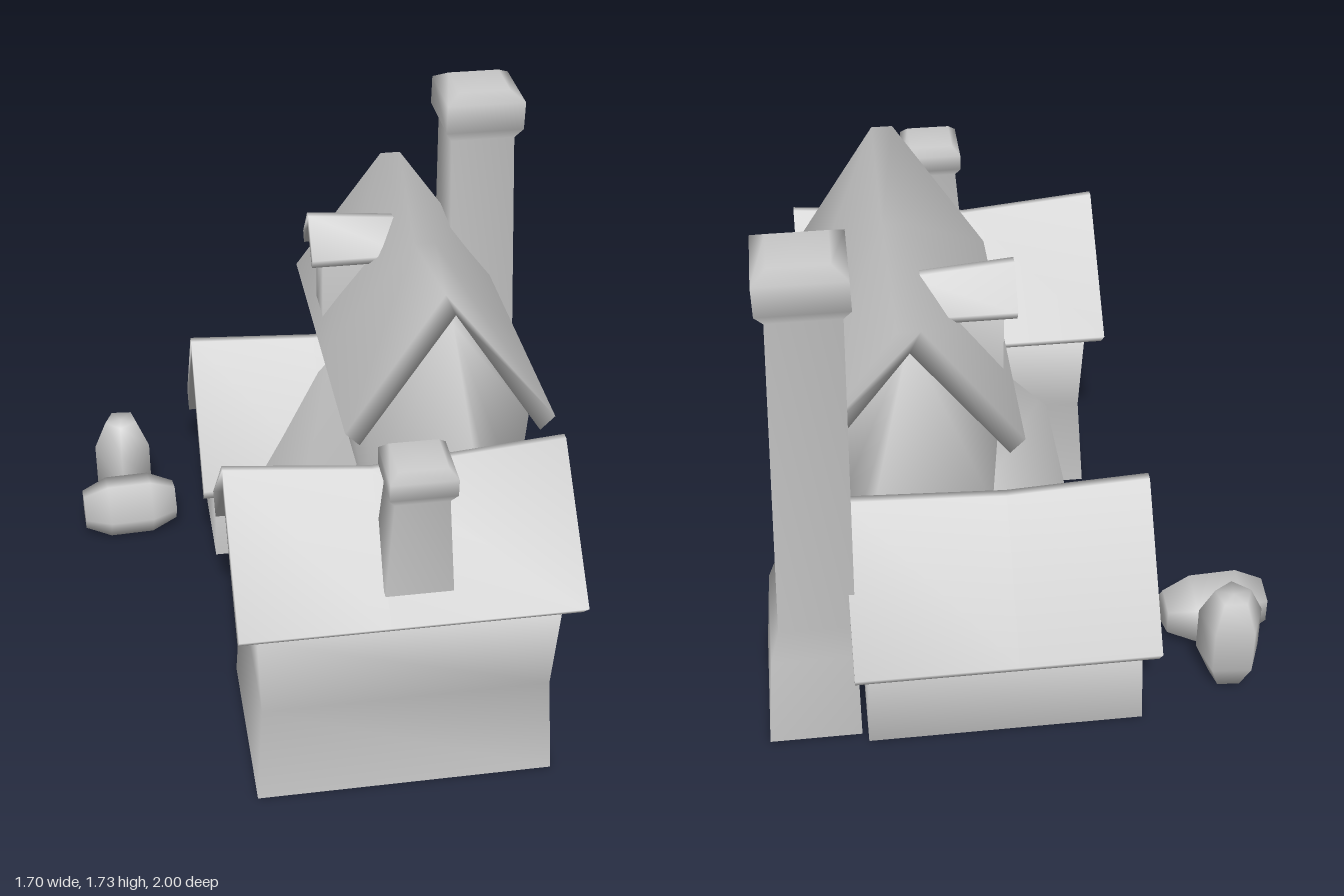
import * as THREE from 'three';

const solid = new THREE.MeshStandardMaterial({ color: 0xcccccc });
const open = new THREE.MeshStandardMaterial({ color: 0xcccccc, side: THREE.DoubleSide });

function add(group, name, geometry, material = solid) {
  const mesh = new THREE.Mesh(geometry, material);
  mesh.name = name;
  group.add(mesh);
  return mesh;
}

// Skins rings of [side, height, along] points and caps both ends, with soft normals.
// The rings run along the given axis, centred sideways on c.
function loft(rings, axis, c, closed = true) {
  const n = rings[0].length;
  const positions = [];
  const index = [];
  for (const ring of rings) {
    for (const [s, y, u] of ring) {
      positions.push(...(axis === 'z' ? [c + s, y, u] : [u, y, c - s]));
    }
  }
  for (let r = 0; r < rings.length - 1; r++) {
    for (let i = 0; i < (closed ? n : n - 1); i++) {
      const a = r * n + i;
      const b = r * n + (i + 1) % n;
      index.push(a, b, b + n, a, b + n, a + n);
    }
  }
  const outline = rings[0].map(([s, y]) => new THREE.Vector2(s, y));
  const last = (rings.length - 1) * n;
  for (const [i, j, k] of THREE.ShapeUtils.triangulateShape(outline, [])) {
    index.push(k, j, i, last + i, last + j, last + k);
  }
  const geometry = new THREE.BufferGeometry();
  geometry.setAttribute('position', new THREE.Float32BufferAttribute(positions, 3));
  geometry.setIndex(index);
  geometry.computeVertexNormals();
  return geometry;
}

// Thick gable roof; stations are [along, ridgeHeight] and make the ridge sag.
function roof(axis, c, { eave, under, ridgeHalf, drop, stations }) {
  const rings = stations.map(([u, top]) => [
    [eave[0], eave[1], u],
    [ridgeHalf, top, u],
    [-ridgeHalf, top, u],
    [-eave[0], eave[1], u],
    [-under[0], under[1], u],
    [0, top - drop, u],
    [under[0], under[1], u],
  ]);
  return loft(rings, axis, c);
}

// Gabled walls, open below; levels are [halfWidth, height, inset of the end walls].
function walls(axis, c, from, to, levels, peak) {
  const ring = (u, dir) => [
    ...levels.map(([h, y, inset]) => [h, y, u + dir * inset]),
    [0, peak, u],
    ...levels.map(([h, y, inset]) => [-h, y, u + dir * inset]).reverse(),
  ];
  return loft([ring(from, 1), ring(to, -1)], axis, c, false);
}

// Soft-edged square stack from [halfWidth, height] points, leaning by dx over its height.
// Below the cap its left side is held at minX, where it stands against a wall.
function chimney(profile, x, z, dx, minX) {
  const points = profile.map(([h, y]) => new THREE.Vector2(h * Math.SQRT2, y));
  const geometry = new THREE.LatheGeometry(points, 4, Math.PI / 4);
  const position = geometry.attributes.position;
  const y0 = profile[0][1];
  const height = profile[profile.length - 1][1] - y0;
  for (let i = 0; i < position.count; i++) {
    const t = (position.getY(i) - y0) / height;
    const px = position.getX(i) + x + dx * t;
    position.setX(i, t < 0.5 ? Math.max(px, minX) : px);
    position.setZ(i, position.getZ(i) + z);
  }
  return geometry;
}

// Five-sided barrel, centred on its own middle.
function barrel(half, endRadius, radius, bulge) {
  const points = [
    [0, -half], [endRadius, -half], [radius, -bulge],
    [radius, bulge], [endRadius, half], [0, half],
  ].map(([r, y]) => new THREE.Vector2(r, y));
  return new THREE.LatheGeometry(points, 5);
}

export function createModel() {
  const model = new THREE.Group();
  model.name = 'cottage';

  // Front wing
  add(model, 'frontWingWalls', walls('x', 0.613, -0.36, 0.605,
    [[0.317, 0, 0], [0.297, 0.35, 0.022], [0.325, 0.66, 0.01]], 1.0), open);
  add(model, 'frontWingRoof', roof('x', 0.61, {
    eave: [0.39, 0.715], under: [0.33, 0.655], ridgeHalf: 0.012, drop: 0.085,
    stations: [[-0.41, 1.08], [0.05, 1.035], [0.66, 1.09]],
  }));

  // Tall main house
  add(model, 'mainWalls', walls('z', 0.34, -0.66, 0.39,
    [[0.26, 0, 0.09], [0.24, 0.4, 0.08], [0.25, 0.7, 0.04], [0.262, 1.03, 0]], 1.39), open);
  add(model, 'mainRoof', roof('z', 0.343, {
    eave: [0.342, 1.03], under: [0.295, 0.982], ridgeHalf: 0.035, drop: 0.075,
    stations: [[-0.72, 1.455], [-0.08, 1.425], [0.41, 1.51]],
  }));

  // Dormer on the main roof
  add(model, 'dormerWalls', walls('x', -0.335, 0.03, 0.3,
    [[0.075, 1.02, 0], [0.075, 1.3, 0]], 1.38), open);
  add(model, 'dormerRoof', roof('x', -0.335, {
    eave: [0.115, 1.31], under: [0.095, 1.275], ridgeHalf: 0.015, drop: 0.05,
    stations: [[-0.01, 1.43], [0.32, 1.4]],
  }));

  // Lean-to beside the main house
  const leanTo = (points) => [-0.55, 0.4].map((u) => points.map(([x, y]) => [x, y, u]));
  add(model, 'leanToRoof', loft(
    leanTo([[-0.18, 0.3], [0.1, 0.3], [0.1, 0.71], [-0.22, 0.35]]), 'z', 0));
  add(model, 'leanToWalls', loft(
    leanTo([[0.1, 0], [0.1, 0.45], [-0.16, 0.33], [-0.17, 0]]), 'z', 0, false), open);

  // Low back wing
  add(model, 'backWingWalls', walls('x', -0.645, -0.365, 0.53,
    [[0.285, 0, 0], [0.28, 0.32, 0.01]], 0.7), open);
  add(model, 'backWingRoof', roof('x', -0.645, {
    eave: [0.355, 0.345], under: [0.305, 0.28], ridgeHalf: 0.015, drop: 0.08,
    stations: [[-0.405, 0.785], [0.05, 0.76], [0.565, 0.785]],
  }));

  // Chimneys
  add(model, 'tallChimney', chimney([
    [0.235, 0.01], [0.203, 0.33], [0.172, 0.43], [0.112, 1.56],
    [0.137, 1.6], [0.137, 1.7], [0.09, 1.73], [0, 1.73],
  ], 0.612, -0.67, 0.032, 0.55), open);
  add(model, 'smallChimney', chimney([
    [0.105, 0.79], [0.083, 1.11], [0.102, 1.14], [0.102, 1.195],
    [0.075, 1.223], [0, 1.223],
  ], 0.145, 0.835, 0.005, 0.04), open);

  // Barrels beside the back wing
  const standing = add(model, 'standingBarrel', barrel(0.18, 0.062, 0.109, 0.08));
  standing.rotation.y = -0.08;
  standing.position.set(-0.68, 0.19, -0.78);
  const lying = add(model, 'lyingBarrel', barrel(0.173, 0.075, 0.118, 0.08));
  lying.rotation.set(0, 0.05, Math.PI / 2);
  lying.position.set(-0.673, 0.123, -0.565);

  return model;
}
